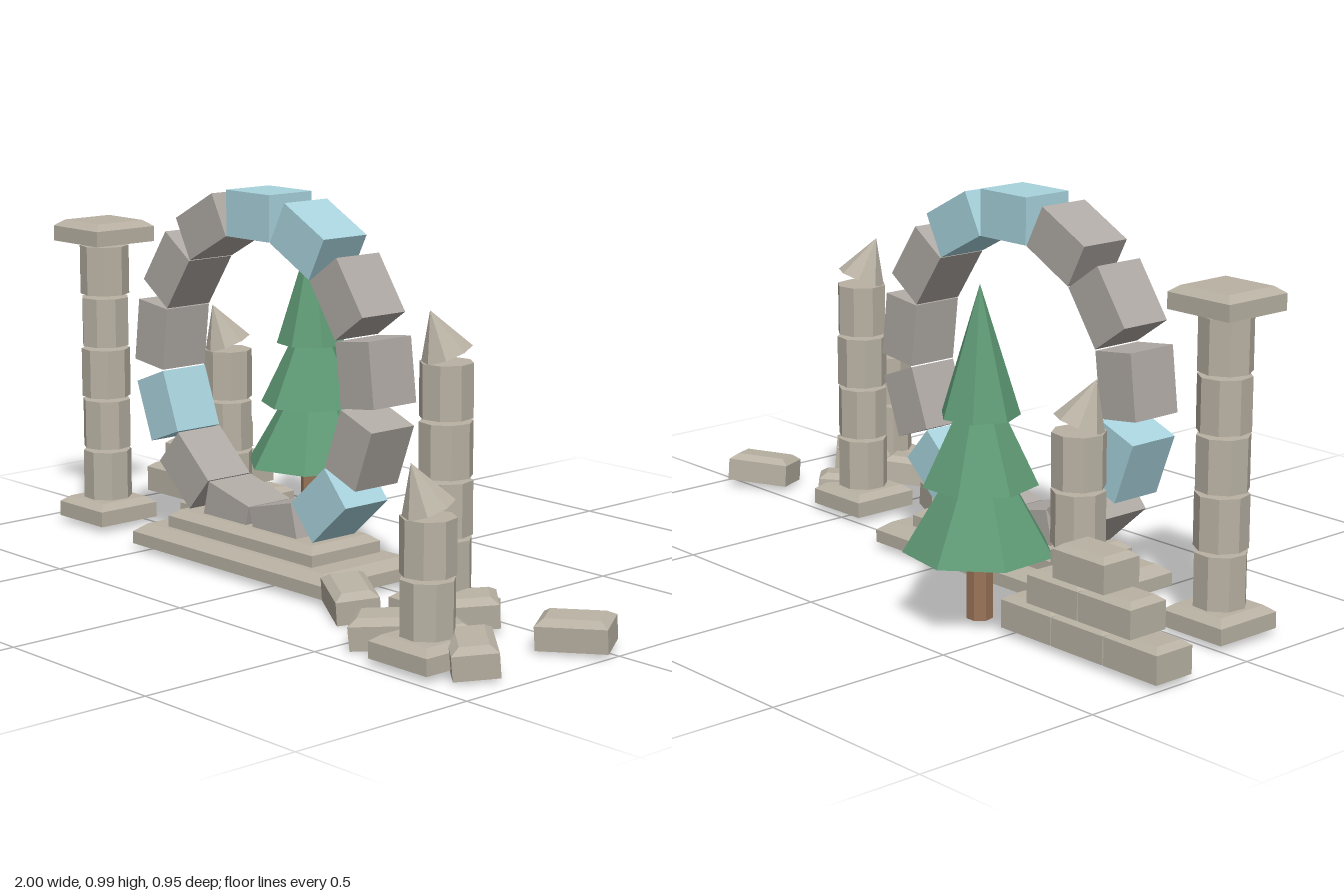
import * as THREE from 'three';

const mat = (color) => new THREE.MeshStandardMaterial({ color, flatShading: true });

export function createModel() {
  const model = new THREE.Group();
  const stone = mat(0xb8b1a3), ringStone = mat(0xb0aaa5), crystal = mat(0xa8d3dd);
  const bark = mat(0x9a7458), leaf = mat(0x5f9a75);

  const add = (parent, name, geometry, material, x, y, z) => {
    const mesh = new THREE.Mesh(geometry, material);
    mesh.name = name;
    mesh.position.set(x, y, z);
    parent.add(mesh);
    return mesh;
  };

  // Stone slab whose top edges are cut at a slant
  const slab = (w, h, d, c) => {
    const g = new THREE.BoxGeometry(w, h, d, 1, 2, 1);
    const p = g.attributes.position;
    for (let i = 0; i < p.count; i++) {
      const y = p.getY(i);
      if (Math.abs(y) < 1e-6) p.setY(i, h / 2 - c * 0.75);
      else if (y > 0) {
        p.setX(i, p.getX(i) - Math.sign(p.getX(i)) * c);
        p.setZ(i, p.getZ(i) - Math.sign(p.getZ(i)) * c);
      }
    }
    g.computeVertexNormals();
    return g;
  };

  // Stepped plinth
  add(model, 'plinthLower', slab(0.765, 0.056, 0.33, 0.03), stone, -0.152, 0.044, 0.066);
  add(model, 'plinthUpper', slab(0.575, 0.048, 0.235, 0.024), stone, -0.152, 0.096, 0.066);

  // Ring of thirteen blocks
  const ring = new THREE.Group();
  ring.name = 'ring';
  ring.position.set(-0.153, 0.525, 0.072);
  model.add(ring);
  const blue = [0, 1, 5, 9];
  for (let i = 0; i < 13; i++) {
    const a = (i / 13) * Math.PI * 2;
    const block = add(ring, 'ringBlock', new THREE.BoxGeometry(0.167, 0.12, 0.144),
      blue.includes(i) ? crystal : ringStone, Math.sin(a) * 0.405, Math.cos(a) * 0.405, 0);
    block.rotation.z = -a;
  }

  // Columns of stacked drums, whole or broken to a leaning point
  const column = (name, x, z, drums, whole) => {
    const g = new THREE.Group();
    g.name = name;
    g.position.set(x, 0, z);
    model.add(g);
    add(g, 'columnBase', slab(0.192, 0.058, 0.192, 0.022), stone, 0, 0.045, 0);
    for (let i = 0; i < drums; i++) {
      const drum = add(g, 'drum', new THREE.CylinderGeometry(0.067, 0.067, 0.134, 8), stone, 0, 0.142 + i * 0.1435, 0);
      drum.rotation.y = 0.3 + i * 0.35;
    }
    const top = 0.075 + drums * 0.1435;
    if (whole) {
      add(g, 'capital', slab(0.196, 0.058, 0.196, 0.022), stone, 0, top + 0.031, 0);
    } else {
      const tip = add(g, 'brokenTop', new THREE.ConeGeometry(0.066, 0.115, 8).translate(0, 0.0575, 0), stone, 0, top + 0.008, 0);
      tip.rotation.set(0.31, 0, 0.2);
    }
  };
  column('tallColumn', -0.825, 0.092, 5, true);
  column('leftColumn', 0.518, 0.093, 4, false);
  column('shortColumn', 0.757, 0.384, 2, false);
  column('backColumn', -0.583, -0.146, 3, false);

  // Ruined wall in running bond: start of the row, number of blocks
  const wall = new THREE.Group();
  wall.name = 'wall';
  model.add(wall);
  [[-1, 3], [-0.915, 2], [-0.828, 1]].forEach(([start, count], row) => {
    for (let i = 0; i < count; i++) {
      add(wall, 'wallBlock', slab(0.17, 0.084, 0.115, 0.018), stone,
        start + 0.085 + i * 0.174, 0.058 + row * 0.085, -0.243);
    }
  });

  // Fallen blocks: x, z, turn, tilt
  [
    [0.335, 0.235, -0.53, -0.1],
    [0.9, 0.04, 0.53, 0.04],
    [0.595, 0.11, 0.85, 0.07],
    [0.595, 0.352, 0.65, 0.08],
    [0.86, 0.342, -0.7, -0.06],
    [0.72, 0.3, -0.5, 0.05],
  ].forEach(([x, z, turn, tilt]) => {
    const block = add(model, 'fallenBlock', slab(0.175, 0.075, 0.11, 0.02), stone, x, 0.05, z);
    block.rotation.set(0.08, turn, tilt, 'YXZ');
  });

  // Fir tree
  const tree = new THREE.Group();
  tree.name = 'tree';
  tree.position.set(-0.39, 0, -0.288);
  model.add(tree);
  add(tree, 'trunk', new THREE.CylinderGeometry(0.033, 0.033, 0.2, 7), bark, 0, 0.115, 0);
  // top radius, bottom radius, bottom, top, turn
  [
    [0.085, 0.187, 0.186, 0.358, Math.PI / 2 + 0.05],
    [0.06, 0.143, 0.354, 0.526, Math.PI / 2 + 0.25],
    [0, 0.098, 0.522, 0.84, -Math.PI / 2],
  ].forEach(([rt, rb, y0, y1, turn]) => {
    const tier = add(tree, 'foliage', new THREE.CylinderGeometry(rt, rb, y1 - y0, 7), leaf, 0, (y0 + y1) / 2, 0);
    tier.rotation.y = turn;
  });

  return model;
}
